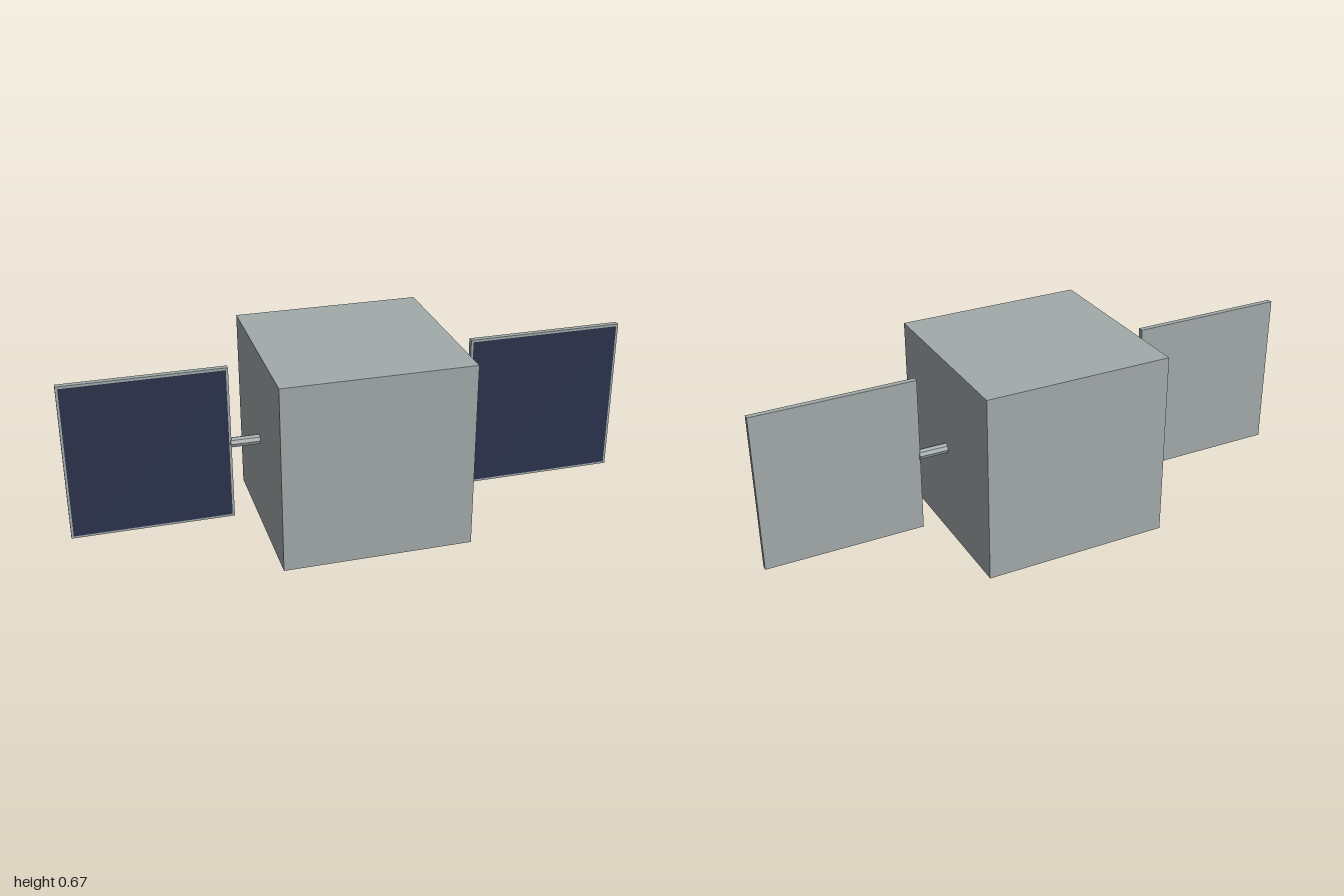
import * as THREE from 'three';

export function createModel() {
  const model = new THREE.Group();
  model.name = 'satellite';

  const metal = new THREE.MeshStandardMaterial({ color: 0xa2aaaa });
  metal.name = 'grey metal';
  const solar = new THREE.MeshStandardMaterial({ color: 0x2b324c });
  solar.name = 'solar blue';

  const size = 0.667;
  const midY = size / 2;
  const panelSize = 0.567;
  const panelDepth = 0.02;
  const rim = 0.008;

  const add = (parent, name, geometry, material, x, y, z) => {
    const mesh = new THREE.Mesh(geometry, material);
    mesh.name = name;
    mesh.position.set(x, y, z);
    parent.add(mesh);
    return mesh;
  };

  // Cubic body
  add(model, 'body', new THREE.BoxGeometry(size, size, size), metal, 0, midY, 0);

  // One wing on each side: octagonal rod, framed panel, cell face on the front
  for (const side of [1, -1]) {
    const wing = new THREE.Group();
    wing.name = side > 0 ? 'leftWing' : 'rightWing';
    model.add(wing);

    const inner = size / 2 - 0.01;
    const outer = 1 - panelSize + 0.003;
    const rodGeometry = new THREE.CylinderGeometry(0.018, 0.018, outer - inner, 8).toNonIndexed();
    rodGeometry.computeVertexNormals(); // flat facets
    rodGeometry.rotateZ(Math.PI / 2);
    add(wing, 'rod', rodGeometry, metal, side * (inner + outer) / 2, midY, 0);

    const panelX = side * (1 - panelSize / 2);
    add(wing, 'panelFrame', new THREE.BoxGeometry(panelSize, panelSize, panelDepth),
      metal, panelX, midY, 0);

    const cell = panelSize - 2 * rim;
    add(wing, 'solarCells', new THREE.PlaneGeometry(cell, cell),
      solar, panelX, midY, panelDepth / 2 + 0.001);
  }

  return model;
}
